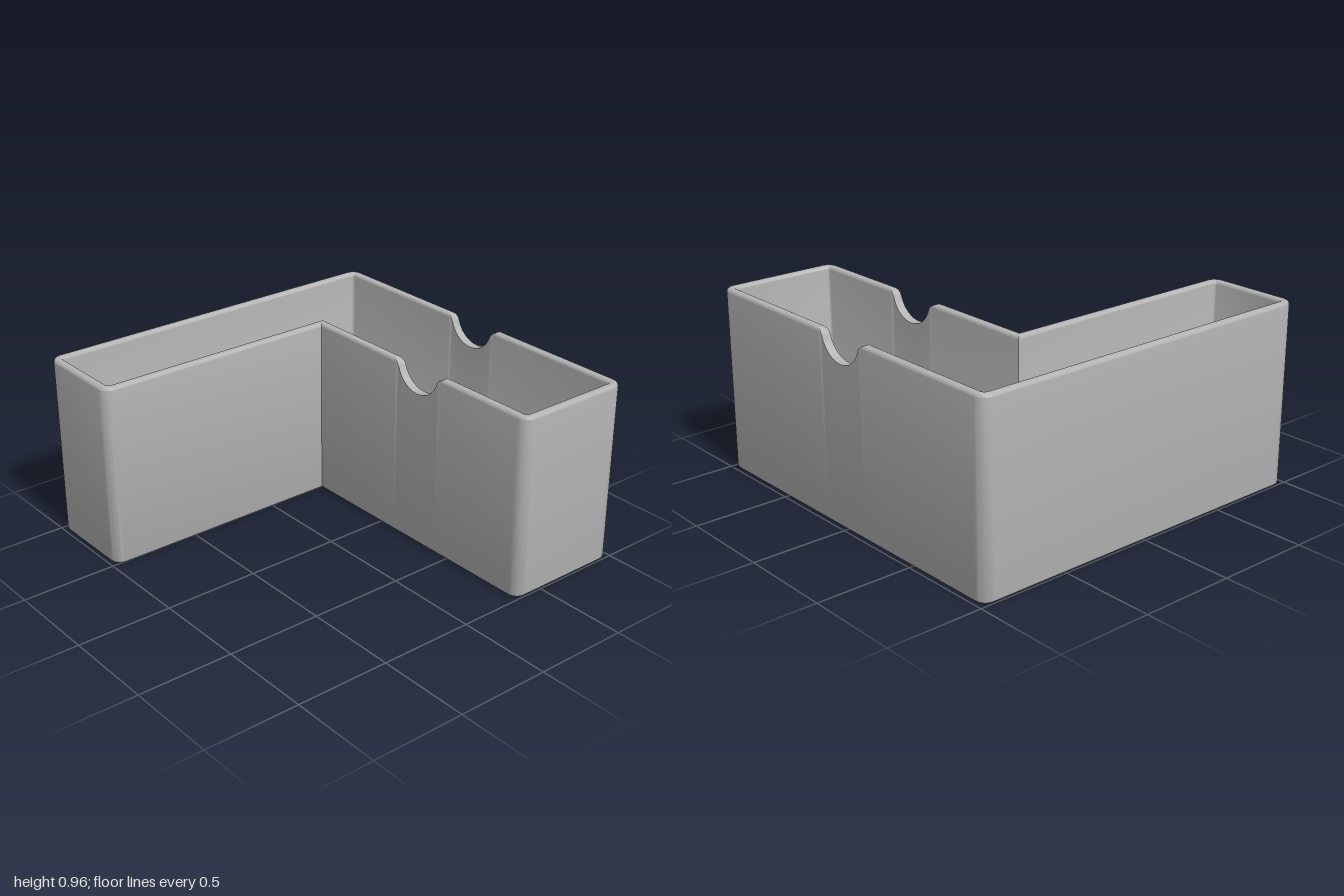
import * as THREE from 'three';
import { toCreasedNormals } from 'three/addons/utils/BufferGeometryUtils.js';

const X = 0.985, H = 0.965;              // half width, height
const INNER_X = 0.33, INNER_Z = -0.485;  // re-entrant corner of the L
const WALL = 0.047, CORNER = 0.06, RIM = 0.018, FILLET = 0.01;
const NOTCH_R = 0.145, NOTCH_FILLET = 0.056, NOTCH_HALF = 0.19, NOTCH_BOTTOM = 0.83;

// Half of the notch curve, from its bottom to the rim: [distance, height]
const notchCurve = [];
const bend = Math.asin(NOTCH_HALF / (NOTCH_R + NOTCH_FILLET));
for (let i = 0; i <= 12; i++) {
  const a = bend * i / 12;
  notchCurve.push([NOTCH_R * Math.sin(a), NOTCH_BOTTOM + NOTCH_R * (1 - Math.cos(a))]);
}
for (let i = 7; i >= 0; i--) {
  const a = bend * i / 8;
  notchCurve.push([NOTCH_HALF - NOTCH_FILLET * Math.sin(a), H - NOTCH_FILLET * (1 - Math.cos(a))]);
}

// Each outline entry gives its position at inset d, and the highest allowed y
const outline = [];
function roundCorner(x, z, sx, sz, startAngle) {
  const cx = x + sx * CORNER, cz = z + sz * CORNER;
  for (let i = 0; i <= 8; i++) {
    const a = startAngle + (Math.PI / 2) * i / 8;
    outline.push({
      at: d => [cx + (CORNER - d) * Math.cos(a), cz + (CORNER - d) * Math.sin(a)],
      top: H,
    });
  }
}
function notch(x, inward, centre, dir) {
  const left = notchCurve.slice(1).reverse().map(([s, y]) => [-s, y]);
  for (const [s, y] of [...left, ...notchCurve]) {
    outline.push({ at: d => [x + inward * d, centre + dir * s], top: y });
  }
}
roundCorner(-X, -1, 1, 1, Math.PI);
roundCorner(X, -1, -1, 1, -Math.PI / 2);
notch(X, -1, 0, 1);
roundCorner(X, 1, -1, -1, 0);
roundCorner(INNER_X, 1, 1, -1, Math.PI / 2);
notch(INNER_X, 1, 0.26, -1);
outline.push({ at: d => [INNER_X + d, INNER_Z - d], top: H });
roundCorner(-X, INNER_Z, 1, -1, Math.PI / 2);

// Wall section: [inset, height] from under the base, over the rim, to the floor
const section = [];
function arc(cd, cy, r, from, to) {
  for (let i = 0; i <= 5; i++) {
    const a = from + (to - from) * i / 5;
    section.push([cd + r * Math.cos(a), cy + r * Math.sin(a)]);
  }
}
arc(RIM, RIM, RIM, -Math.PI / 2, -Math.PI);
arc(RIM, H - RIM, RIM, Math.PI, Math.PI / 2);
arc(WALL - RIM, H - RIM, RIM, Math.PI / 2, 0);
arc(WALL + FILLET, WALL + FILLET, FILLET, Math.PI, Math.PI * 1.5);

function wallGeometry() {
  const n = outline.length, positions = [], index = [];
  for (const [d, y] of section) {
    for (const p of outline) {
      const [x, z] = p.at(d);
      positions.push(x, Math.min(y, p.top), z);
    }
  }
  for (let j = 0; j < section.length - 1; j++) {
    for (let i = 0; i < n; i++) {
      const k = (i + 1) % n;
      const a = j * n + i, b = j * n + k, c = b + n, e = a + n;
      index.push(a, c, b, a, e, c);
    }
  }
  const g = new THREE.BufferGeometry();
  g.setAttribute('position', new THREE.Float32BufferAttribute(positions, 3));
  g.setIndex(index);
  return toCreasedNormals(g, 0.6);
}

// Flat L-shaped sheet at height y, facing up (1) or down (-1)
function sheet(d, y, facing) {
  const pts = outline.map(p => {
    const [x, z] = p.at(d);
    return new THREE.Vector2(x, -facing * z);
  });
  const g = new THREE.ShapeGeometry(new THREE.Shape(pts));
  g.rotateX(-facing * Math.PI / 2);
  g.translate(0, y, 0);
  return g;
}

export function createModel() {
  const model = new THREE.Group();
  model.name = 'cornerTray';
  const grey = new THREE.MeshStandardMaterial({ color: 0xb3b3b3 });
  grey.name = 'plain grey';
  const add = (name, geometry) => {
    const mesh = new THREE.Mesh(geometry, grey);
    mesh.name = name;
    model.add(mesh);
  };
  add('notchedWalls', wallGeometry());
  add('underside', sheet(RIM, 0, -1));
  add('innerFloor', sheet(WALL + FILLET, WALL, 1));
  return model;
}
